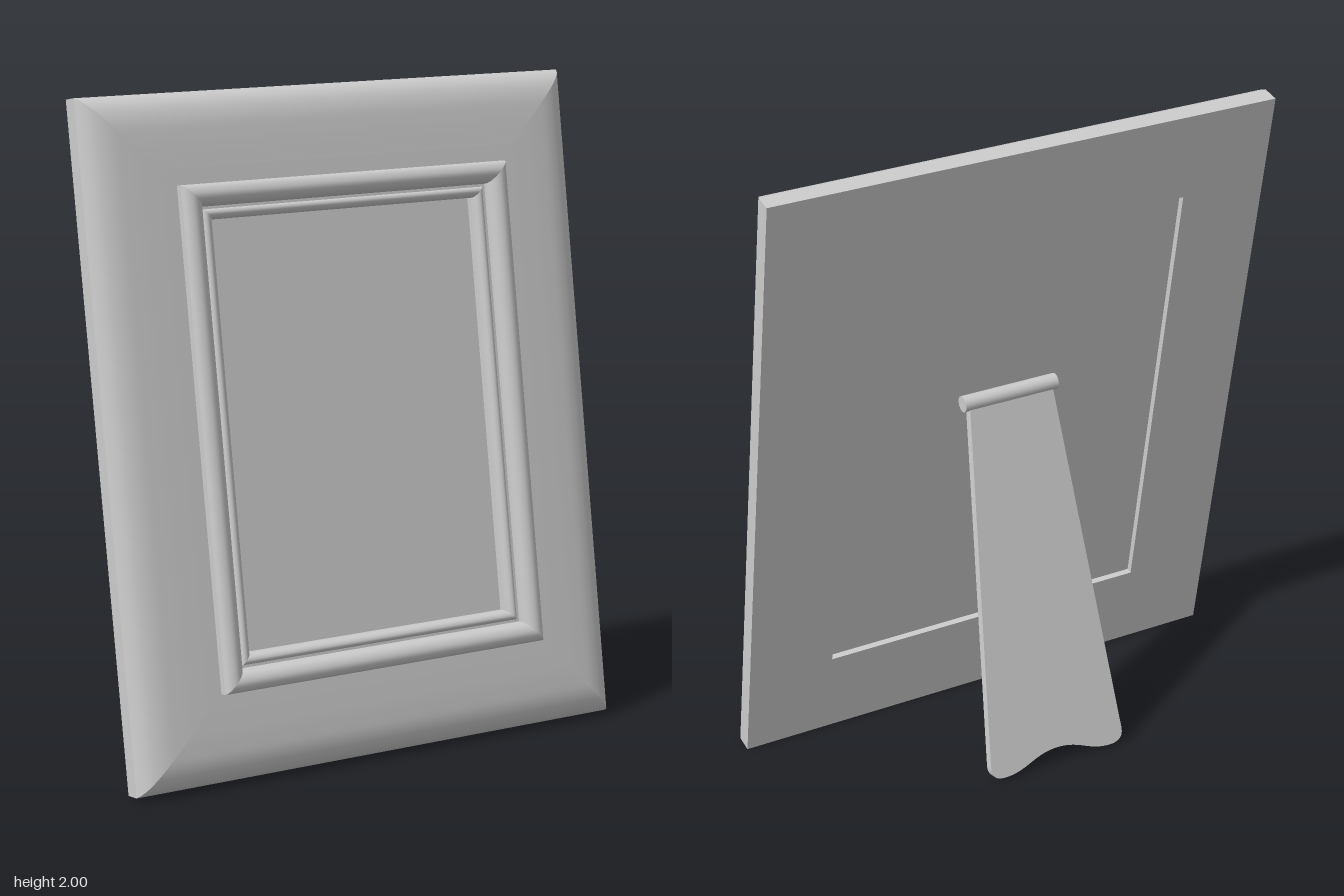
import * as THREE from 'three';

const W = 0.82, H = 1.01, TILT = THREE.MathUtils.degToRad(9.8);

// Mitred ring: sweeps profile runs of [inset, height] round a rectangle.
// Each run is smooth; edges between runs and at the mitres stay sharp.
function mitredRing(runs) {
  const pos = [], index = [];
  const corners = [[-1, -1], [1, -1], [1, 1], [-1, 1]];
  for (let k = 0; k < 4; k++) {
    const ends = [corners[k], corners[(k + 1) % 4]];
    for (const run of runs) {
      const base = pos.length / 3;
      run.forEach(([d, h], i) => {
        for (const [sx, sy] of ends) pos.push(sx * (W - d), sy * (H - d), h);
        if (i === 0) return;
        const a = base + 2 * (i - 1);
        index.push(a, a + 1, a + 3, a, a + 3, a + 2);
      });
    }
  }
  const g = new THREE.BufferGeometry();
  g.setAttribute('position', new THREE.Float32BufferAttribute(pos, 3));
  g.setIndex(index);
  g.computeVertexNormals();
  return g;
}

// Smooth run through a few profile points
function curveRun(points, n) {
  const c = new THREE.CatmullRomCurve3(points.map(([d, h]) => new THREE.Vector3(d, h, 0)), false, 'centripetal');
  return c.getPoints(n).map((p) => [p.x, p.y]);
}

export function createModel() {
  const model = new THREE.Group();
  const grey = new THREE.MeshStandardMaterial({ color: 0xcccccc });
  grey.name = 'light grey';

  const add = (parent, name, geometry) => {
    const mesh = new THREE.Mesh(geometry, grey);
    mesh.name = name;
    parent.add(mesh);
    return mesh;
  };

  // Leaning frame, built upright with its back on local z = 0
  const frame = new THREE.Group();
  frame.name = 'frame';
  frame.rotation.x = -TILT;
  frame.position.set(0, H * Math.cos(TILT), 0.22 - H * Math.sin(TILT));
  model.add(frame);

  // Wide outer border with a rounded outside edge and a rebated back
  add(frame, 'outerBorder', mitredRing([
    [[0.28, 0.03], [0.28, 0]],
    [[0.28, 0], [0, 0]],
    [[0, 0], [0, 0.055]],
    curveRun([[0, 0.055], [0.012, 0.077], [0.035, 0.097], [0.075, 0.111], [0.13, 0.116], [0.22, 0.118]], 24),
    [[0.22, 0.118], [0.28, 0.118]],
  ]));

  // Raised bead round the opening
  add(frame, 'outerBead', mitredRing([
    [[0.27, 0.11], [0.27, 0.143]],
    curveRun([[0.27, 0.143], [0.275, 0.155], [0.285, 0.163], [0.3, 0.167], [0.315, 0.163], [0.327, 0.153], [0.335, 0.135], [0.336, 0.12]], 20),
    [[0.336, 0.12], [0.344, 0.12]],
  ]));

  // Smaller bead stepping down to the panel
  add(frame, 'innerBead', mitredRing([
    curveRun([[0.344, 0.12], [0.348, 0.126], [0.356, 0.129], [0.366, 0.125], [0.373, 0.115], [0.375, 0.1]], 14),
    [[0.375, 0.1], [0.375, 0.075]],
  ]));

  // Picture panel, slightly recessed at the back
  add(frame, 'panel', new THREE.BoxGeometry(2 * (W - 0.28), 2 * (H - 0.28), 0.06)).position.z = 0.05;

  // Rear stand swinging from the hinge
  const stand = new THREE.Group();
  stand.name = 'stand';
  stand.position.set(0, 1.155, 0.012);
  stand.rotation.x = THREE.MathUtils.degToRad(15.1);
  model.add(stand);

  add(stand, 'hinge', new THREE.CylinderGeometry(0.025, 0.025, 0.316, 24)).rotation.z = Math.PI / 2;

  // Flared leg with rounded toes and a wavy foot
  const s = new THREE.Shape();
  s.moveTo(-0.14, 0);
  s.lineTo(-0.232, -1.145);
  s.bezierCurveTo(-0.234, -1.175, -0.22, -1.19, -0.185, -1.19);
  s.bezierCurveTo(-0.11, -1.19, -0.08, -1.145, 0, -1.145);
  s.bezierCurveTo(0.08, -1.145, 0.11, -1.19, 0.185, -1.19);
  s.bezierCurveTo(0.22, -1.19, 0.234, -1.175, 0.232, -1.145);
  s.lineTo(0.14, 0);
  const leg = new THREE.ExtrudeGeometry(s, { depth: 0.028, bevelEnabled: false, curveSegments: 14 });
  leg.translate(0, 0, -0.014);
  add(stand, 'leg', leg);

  return model;
}
